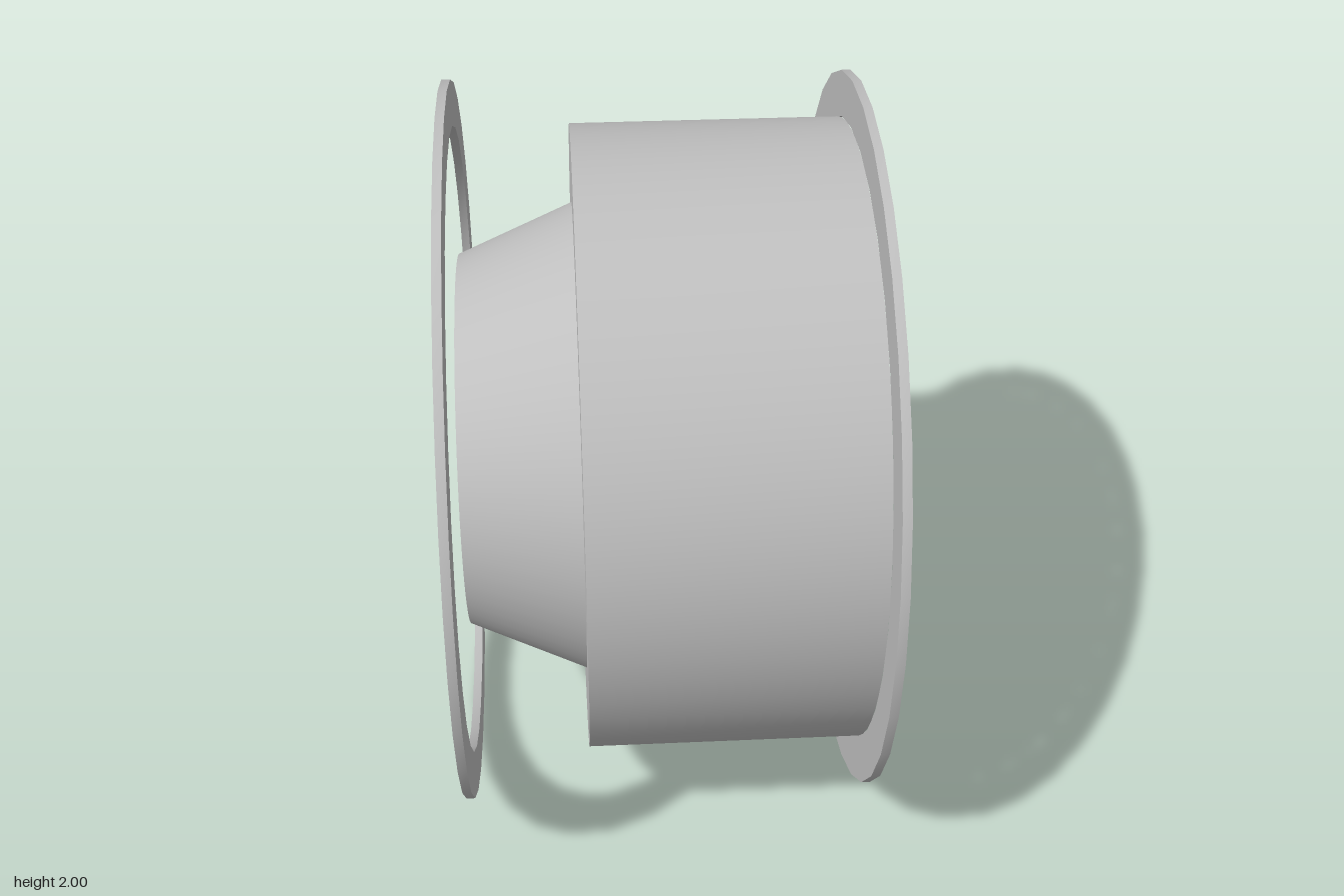
import * as THREE from 'three';
import { toCreasedNormals } from 'three/addons/utils/BufferGeometryUtils.js';

// Revolve a closed [x, radius] profile around the x axis
function revolve(name, profile, segments, material) {
  const points = [...profile, profile[0]].map(([x, r]) => new THREE.Vector2(r, x));
  const geometry = toCreasedNormals(new THREE.LatheGeometry(points, segments), 0.6);
  geometry.rotateZ(-Math.PI / 2);
  const mesh = new THREE.Mesh(geometry, material);
  mesh.name = name;
  return mesh;
}

export function createModel() {
  const group = new THREE.Group();
  group.name = 'flangedBushing';
  const grey = new THREE.MeshStandardMaterial({ color: 0xbfbfbf });
  grey.name = 'plainGrey';

  // Drum with a tapered hub and a through bore
  group.add(revolve('drumAndHub', [
    [-0.533, 0.29], [-0.533, 0.52], [-0.215, 0.655],
    [-0.215, 0.872], [0.533, 0.872], [0.533, 0.29],
  ], 64, grey));

  // Thin flange rings at both ends
  for (const [name, x] of [['leftRing', 0.545], ['rightRing', -0.545]]) {
    const h = 0.012;
    group.add(revolve(name, [
      [x - h, 0.875], [x - h, 1], [x + h, 1], [x + h, 0.875],
    ], 32, grey));
  }

  group.position.y = 1;
  const root = new THREE.Group();
  root.name = 'model';
  root.add(group);
  return root;
}
